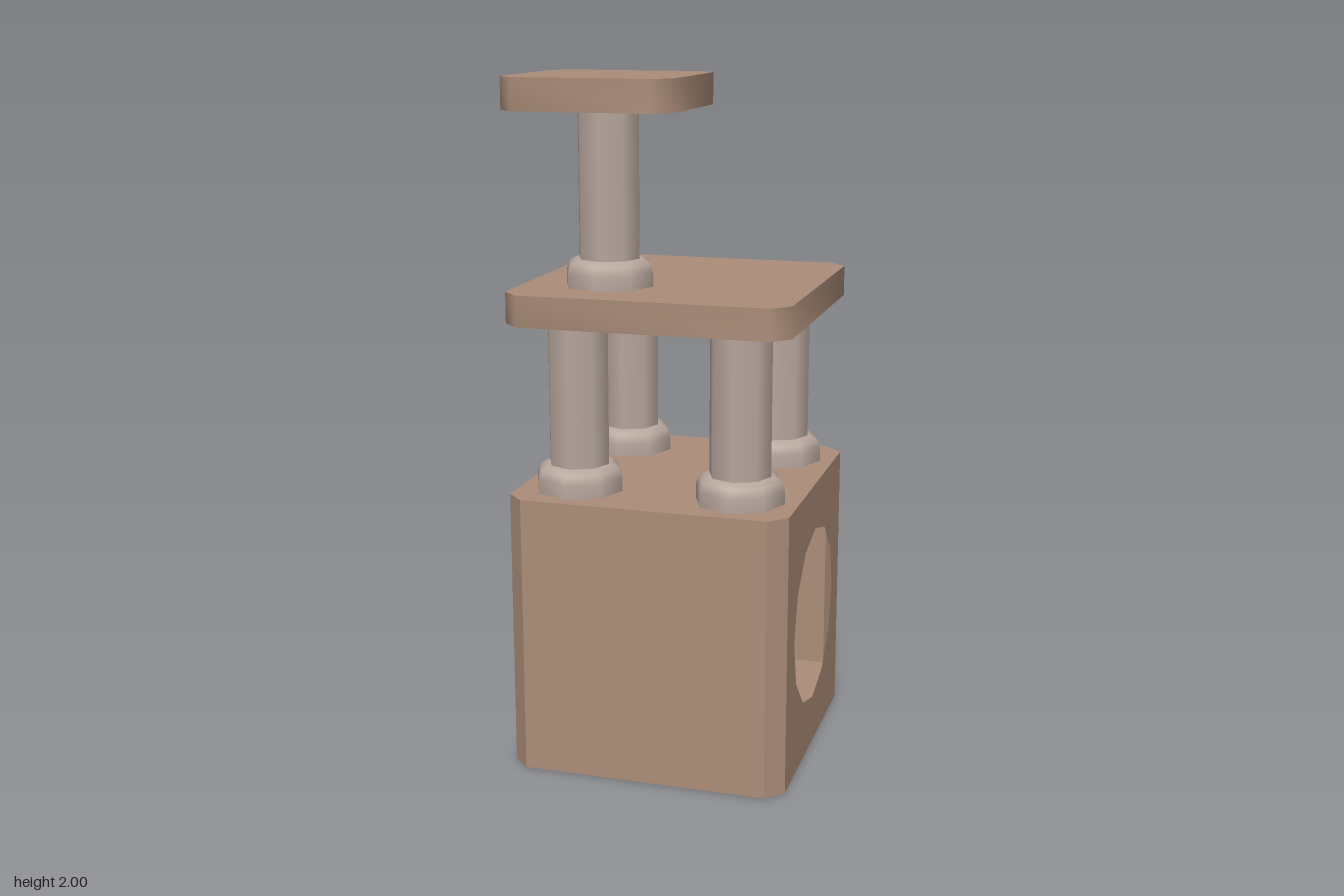
import * as THREE from 'three';
import { mergeGeometries, toCreasedNormals } from 'three/addons/utils/BufferGeometryUtils.js';

const HALF = 0.41;      // half width of box and middle plate
const CUT = 0.05;       // corner chamfer
const BOX_TOP = 0.822;
const PLATE = 0.09;     // plate thickness

// Square outline with cut corners
function cutSquare(half) {
  const a = half, b = half - CUT;
  return new THREE.Shape([
    [b, -a], [a, -b], [a, b], [b, a], [-b, a], [-a, b], [-a, -b], [-b, -a],
  ].map(([x, y]) => new THREE.Vector2(x, y)));
}

export function createModel() {
  const group = new THREE.Group();
  const brown = new THREE.MeshStandardMaterial({ color: 0xab8d79, side: THREE.DoubleSide });
  brown.name = 'brown';
  const paleStone = new THREE.MeshStandardMaterial({ color: 0xb8a79d });
  paleStone.name = 'paleStone';

  const add = (name, geometry, material, x = 0, y = 0, z = 0) => {
    const mesh = new THREE.Mesh(geometry, material);
    mesh.name = name;
    mesh.position.set(x, y, z);
    group.add(mesh);
  };

  // Hollow box: four walls, three of them with a twelve-sided opening
  const parts = [];
  const b = HALF - CUT;
  for (let k = 0; k < 4; k++) {
    const wall = new THREE.Shape([
      new THREE.Vector2(-b, 0), new THREE.Vector2(b, 0),
      new THREE.Vector2(b, BOX_TOP), new THREE.Vector2(-b, BOX_TOP),
    ]);
    if (k > 0) {
      const ring = [];
      for (let i = 0; i < 12; i++) {
        const t = -i * Math.PI / 6;
        ring.push(new THREE.Vector2(0.268 * Math.cos(t), 0.414 + 0.268 * Math.sin(t)));
      }
      wall.holes.push(new THREE.Path(ring));
    }
    parts.push(new THREE.ShapeGeometry(wall).translate(0, 0, HALF).rotateY(k * Math.PI / 2));
    // Cut corner strip
    parts.push(new THREE.PlaneGeometry(CUT * Math.SQRT2, BOX_TOP)
      .translate(0, BOX_TOP / 2, (HALF + b) / Math.SQRT2)
      .rotateY(Math.PI / 4 + k * Math.PI / 2));
  }
  add('boxWalls', toCreasedNormals(mergeGeometries(parts), 1), brown);

  // Horizontal faces of the box
  const sheet = new THREE.ShapeGeometry(cutSquare(HALF));
  add('boxTop', sheet.clone().rotateX(-Math.PI / 2), brown, 0, BOX_TOP, 0);
  add('boxFloor', sheet.clone().rotateX(-Math.PI / 2), brown, 0, 0.09, 0);
  add('boxBottom', sheet.clone().rotateX(Math.PI / 2), brown);

  // Plates
  const plate = (name, half, x, y, z) => {
    const g = new THREE.ExtrudeGeometry(cutSquare(half), { depth: PLATE, bevelEnabled: false });
    add(name, toCreasedNormals(g.rotateX(-Math.PI / 2), 1), brown, x, y, z);
  };
  plate('middlePlate', HALF, 0, 1.32, 0);
  plate('topPlate', 0.246, -0.164, 1.91, 0.164);

  // Eight-sided columns with rounded feet
  const foot = new THREE.LatheGeometry([
    [0.13, 0], [0.13, 0.04], [0.122, 0.065], [0.1, 0.078], [0.085, 0.078],
  ].map(([r, y]) => new THREE.Vector2(r, y)), 8);
  const column = (name, x, y, z, height) => {
    add(name, new THREE.CylinderGeometry(0.09, 0.09, height, 8, 1, true), paleStone, x, y + height / 2, z);
    add(name + 'Foot', foot, paleStone, x, y, z);
  };
  for (const x of [-0.24, 0.24]) {
    for (const z of [-0.24, 0.24]) column('lowerColumn', x, BOX_TOP, z, 1.32 - BOX_TOP);
  }
  column('upperColumn', -0.168, 1.41, 0.164, 0.5);

  return group;
}
